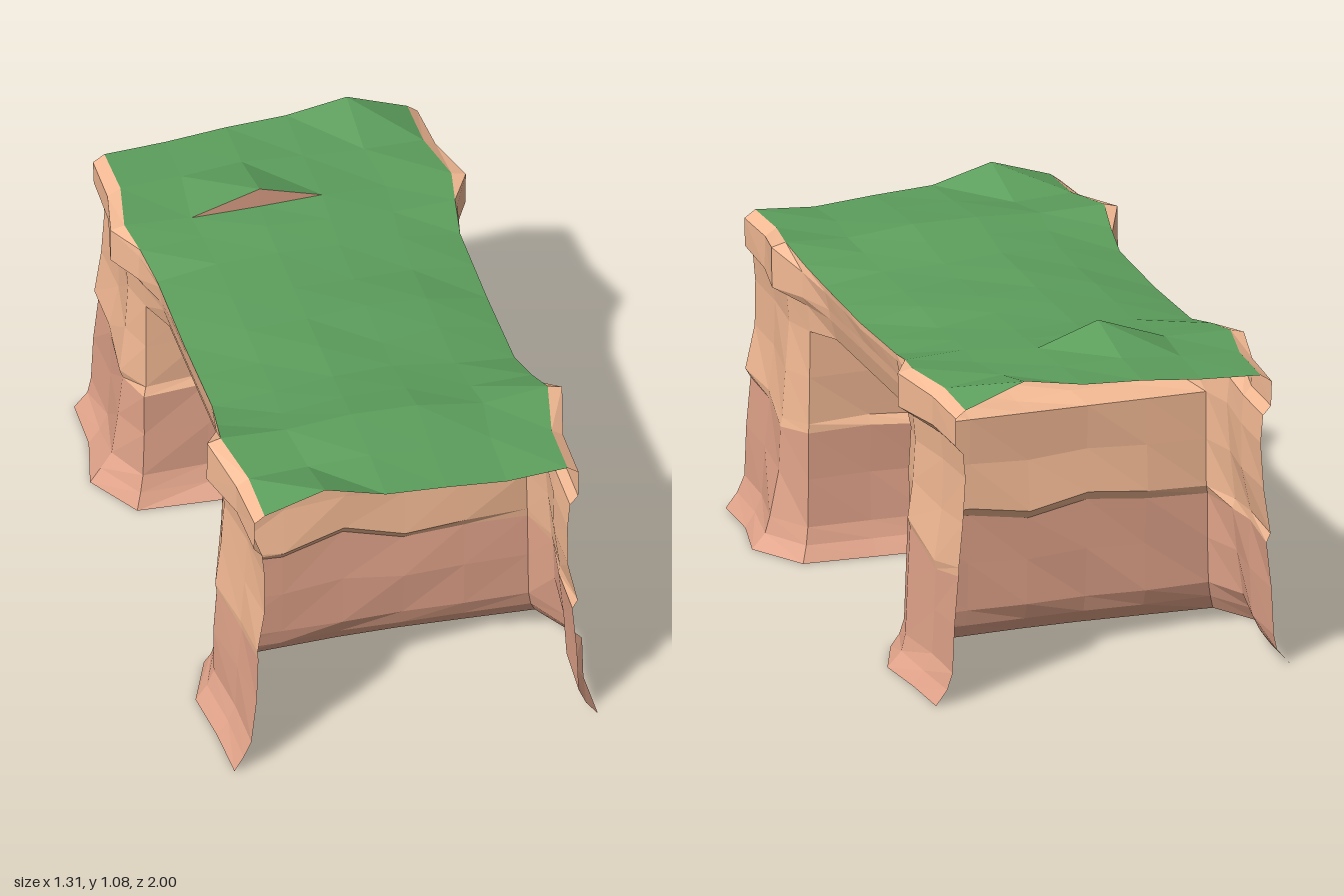
import * as THREE from 'three';

const mat = (color) => new THREE.MeshStandardMaterial({ color, flatShading: true, side: THREE.DoubleSide });

// Small repeatable unevenness in -1..1
const noise = (a, b, c = 0) => {
  const s = Math.sin(a * 127.1 + b * 311.7 + c * 74.7) * 43758.5453;
  return (s - Math.floor(s)) * 2 - 1;
};

// Surface through equally long rows of [x, y, z] points
function sheet(name, material, rows) {
  const n = rows[0].length, index = [];
  for (let r = 0; r < rows.length - 1; r++) {
    for (let c = 0; c < n - 1; c++) {
      const a = r * n + c, b = a + n;
      index.push(a, a + 1, b, a + 1, b + 1, b);
    }
  }
  const g = new THREE.BufferGeometry();
  g.setAttribute('position', new THREE.Float32BufferAttribute(rows.flat(2), 3));
  g.setIndex(index);
  g.computeVertexNormals();
  const mesh = new THREE.Mesh(g, material);
  mesh.name = name;
  return mesh;
}

const zs = [1, 0.8, 0.6, 0.48, 0.34, 0.17, 0, -0.17, -0.34, -0.48, -0.6, -0.8, -1];
const xs = [-1, -0.6, -0.2, 0.2, 0.6, 1]; // fractions of the half width
const rimY = [1.0, 1.005, 1.028, 0.99, 0.96, 0.955, 0.95, 0.955, 0.96, 0.99, 1.005, 1.0, 0.99];
const halfWidth = (z) => ({ 0.6: 0.54, 0.48: 0.52 })[Math.abs(z)] ?? 0.5;
// Half width of the rock below the rim
const wallX = (z) => ({ 1: 0.5, 0.8: 0.505, 0.6: 0.528, 0.48: 0.5 })[Math.abs(z)] ?? 0.46;

export function createModel() {
  const group = new THREE.Group();
  group.name = 'cliffBridge';
  const grassMat = mat(0x5c9e5c), upperMat = mat(0xf5bb95), lowerMat = mat(0xe2a48a);

  // Grass top, slightly crowned, split where a small rock step breaks through
  const crest = [0, 1.02, 1.03, 1.012, 0.998, 0.992, 0.99, 0.99, 0.992, 1.0, 1.012, 1.02, 0];
  const ends = {
    0: [1.0, 1.065, 1.01, 1.0, 0.985, 1.0],
    12: [0.99, 1.0, 1.02, 1.03, 1.065, 0.99],
  };
  const grassRows = zs.map((z, i) => xs.map((f, j) => {
    const edge = Math.abs(f) === 1;
    const crown = Math.abs(f) === 0.6 ? -0.012 : 0.003;
    const y = ends[i] ? ends[i][j] : edge ? rimY[i] : crest[i] + crown + 0.008 * noise(i, j);
    const shift = edge || ends[i] ? 0 : 0.02 * noise(j, i, 3);
    return [f * halfWidth(z), y, z + shift];
  }));
  const step = 10;
  const raised = grassRows[step].map((p, j) => (j === 2 ? [-0.1, 1.083, -0.575] : p));
  grassRows[step][2] = [-0.1, 1.01, -0.58];
  group.add(sheet('grassFront', grassMat, grassRows.slice(0, step + 1)));
  group.add(sheet('grassBack', grassMat, [raised, ...grassRows.slice(step + 1)]));
  group.add(sheet('rockStep', lowerMat, [raised.slice(1, 4), grassRows[step].slice(1, 4)]));

  // Upper side walls: overhanging rim over the piers, smooth along the span
  const spanEdgeY = (z) => (Math.abs(z) < 0.4 ? 0.775 : 0.76);
  for (const side of [1, -1]) {
    const rows = zs.map((z, i) => {
      const w = wallX(z), a = Math.abs(z), n = 0.006 * noise(i, side);
      const rim = a === 0.6 ? 0.058 : a === 0.48 ? 0.025 : 0.035;
      const profile = a < 0.4
        ? [[w, spanEdgeY(z)], [0.48, 0.845], [0.486, 0.877 + n], [0.497 + n * 0.5, rimY[i] - 0.02]]
        : [[w, 0.76], [w + 0.008, 0.847 + n], [w + rim, 0.877 + n],
          [w + rim + n * 0.5, rimY[i] - (a === 0.6 ? 0.012 : 0.025)]];
      return [...profile, [halfWidth(z), rimY[i]]].map(([x, y]) => [side * x, y, z]);
    });
    group.add(sheet(side > 0 ? 'leftUpperWall' : 'rightUpperWall', upperMat, rows));
  }

  // Underside of the span
  group.add(sheet('spanUnderside', upperMat, zs.slice(3, 10).map((z, i) => xs.map((f, j) => {
    const edge = Math.abs(f) === 1, open = Math.abs(z) < 0.4;
    const y = edge ? spanEdgeY(z) : 0.76 + (open ? 0.012 * noise(i, j, 5) : 0);
    return [f * wallX(z), y, z];
  }))));

  // Each pier is a U of wall: x, z, outward x, outward z, share of pier face
  const half = [
    [wallX(1), 1, 1, 0, 0],
    [wallX(0.8), 0.8, 1, 0, 0],
    [wallX(0.6), 0.6, 1.1, 0, 0],
    [wallX(0.48), 0.48, 0.5, -0.7, 0.5],
    [0.6 * wallX(0.48), 0.48, 0, -0.9, 1],
    [0.2 * wallX(0.48), 0.48, 0, -1, 1],
  ];
  const columns = [...half, ...half.slice().reverse().map(([x, z, dx, dz, f]) => [-x, z, -dx, dz, f])];
  // Profile: height, side offset, face offset; the 4th value follows the ledge line
  const lower = [
    [0, 0.1, 0.085, 0], [0.05, 0.063, 0.045, 0], [0.105, 0.041, 0.022, 0],
    [0.26, 0.03, 0.014, 0.4], [0.41, 0.023, 0.012, 1],
  ];
  const upper = [
    [0.41, 0.023, 0.012, 1], [0.44, 0.027, -0.01, 1], [0.6, 0.006, 0.005, 0.4], [0.76, 0, 0, 0],
  ];
  const ledges = {
    1: [0.025, 0.02, -0.005, 0.01, 0.015, 0, 0.06, 0, 0.01, 0.01, 0, 0.02],
    [-1]: [0.02, -0.02, 0.06, 0.01, 0.02, -0.01, 0.03, 0.01, 0, -0.01, 0.02, 0.01],
  };
  for (const end of [1, -1]) {
    const build = (profile) => profile.map(([y, sideOff, faceOff, follow]) =>
      columns.map(([x, z, dx, dz, f], c) => {
        // Widest at two opposite corners
        const flare = y < 0.2 && z === 0.6 ? 0.014 * Math.sign(x) * end : 0;
        const loose = y > 0 && y < 0.76 ? 0.007 * noise(c, y * 10, end) : 0;
        const off = sideOff + (faceOff - sideOff) * f + loose + flare;
        return [x + dx * off, y + ledges[end][c] * follow, end * (z + dz * off)];
      }));
    const name = end > 0 ? 'front' : 'back';
    group.add(sheet(name + 'PierBase', lowerMat, build(lower)));
    // Undercut ledge and upper rock
    group.add(sheet(name + 'PierTop', upperMat, build(upper)));
  }
  return group;
}
